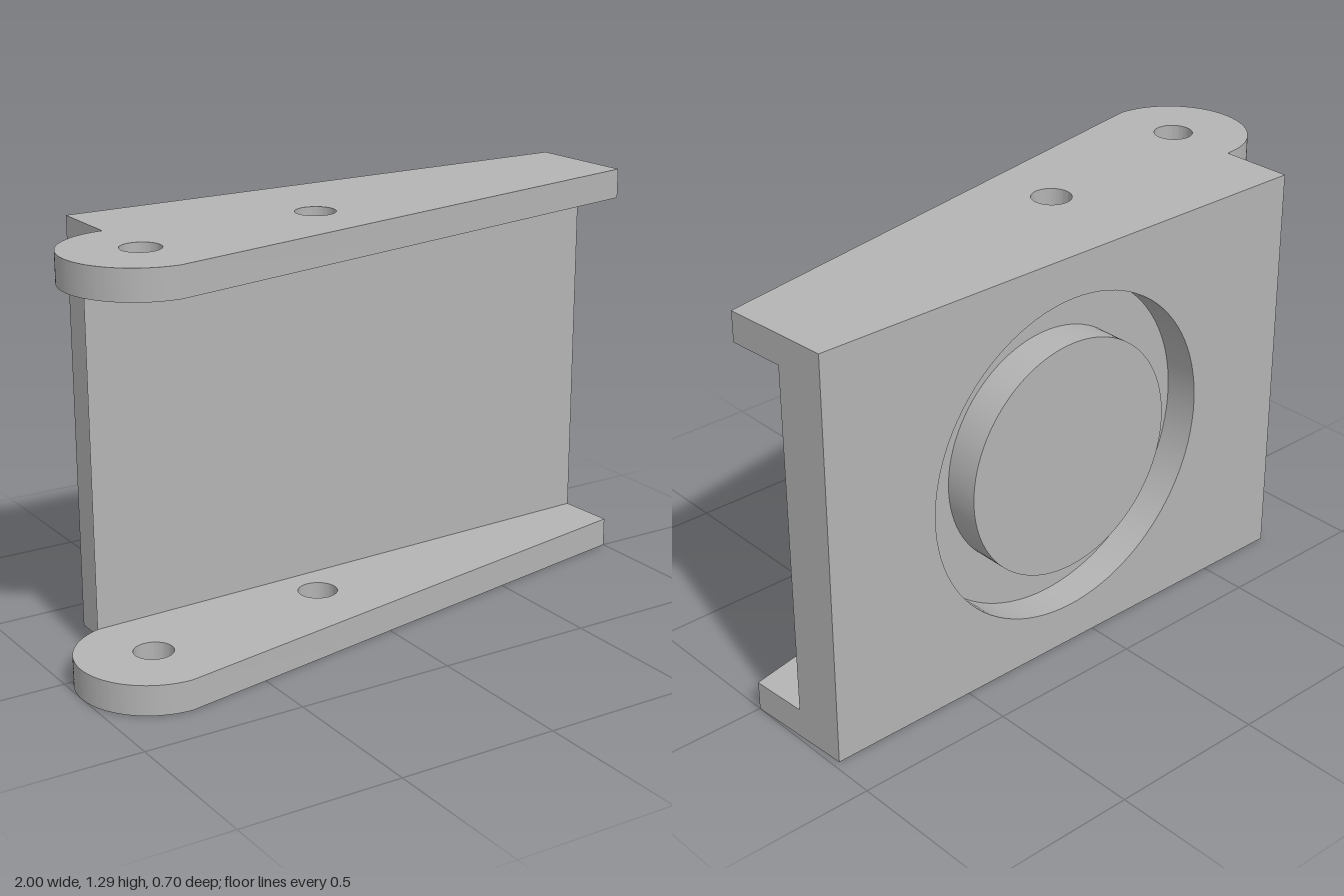
import * as THREE from 'three';
import { toCreasedNormals } from 'three/addons/utils/BufferGeometryUtils.js';

const HEIGHT = 1.287, PLATE = 0.093;
const PIVOT_X = -0.768, PIVOT_Z = 0.117, PIVOT_R = 0.233; // rounded lug end
const BACK = 0.35, GROOVE_DEPTH = 0.11, FLOOR = BACK - GROOVE_DEPTH;
const RING_X = 0.1, RING_OUTER = 0.513, RING_INNER = 0.373;

export function createModel() {
  const model = new THREE.Group();
  model.name = 'bracket';
  const grey = new THREE.MeshStandardMaterial({ color: 0xb4b4b4 });
  grey.name = 'grey metal';

  const extrude = (shape, depth) =>
    new THREE.ExtrudeGeometry(shape, { depth, bevelEnabled: false, curveSegments: 48 });
  const add = (name, geometry) => {
    const mesh = new THREE.Mesh(toCreasedNormals(geometry, 0.5), grey);
    mesh.name = name;
    model.add(mesh);
    return mesh;
  };
  const hole = (x, y, r) => new THREE.Path().absarc(x, y, r, 0, Math.PI * 2, true);

  // Plan outlines are drawn with shape y = -z, then laid flat and raised
  const plan = (shape, height, y) =>
    extrude(shape, height).rotateX(-Math.PI / 2).translate(0, y, 0);

  // Two tapered side plates with a rounded lug and two pin holes
  const plate = new THREE.Shape();
  plate.moveTo(PIVOT_X, BACK);
  plate.lineTo(PIVOT_X, -PIVOT_Z + PIVOT_R);
  plate.absarc(PIVOT_X, -PIVOT_Z, PIVOT_R, Math.PI / 2, Math.PI * 1.5, false);
  plate.lineTo(1, 0);
  plate.lineTo(0.98, BACK);
  plate.closePath();
  plate.holes.push(hole(PIVOT_X, -PIVOT_Z, 0.06), hole(-0.135, 0.004, 0.061));
  add('lowerPlate', plan(plate, PLATE, 0));
  add('upperPlate', plan(plate, PLATE, HEIGHT - PLATE));

  // Wall web with a slightly slanted front, ending on the lug's curve
  const wallHeight = HEIGHT - 2 * PLATE;
  const web = new THREE.Shape();
  web.moveTo(PIVOT_X, FLOOR);
  web.lineTo(PIVOT_X, -PIVOT_Z + PIVOT_R);
  web.absarc(PIVOT_X, -PIVOT_Z, PIVOT_R, Math.PI / 2, Math.acos(-0.07 / PIVOT_R), false);
  web.lineTo(0.9894, 0.185);
  web.lineTo(0.9863, FLOOR);
  web.closePath();
  add('wallWeb', plan(web, wallHeight, PLATE));

  // Back layer of the wall, cut by the ring groove
  const back = new THREE.Shape();
  back.moveTo(PIVOT_X, PLATE);
  back.lineTo(0.98, PLATE);
  back.lineTo(0.98, HEIGHT - PLATE);
  back.lineTo(PIVOT_X, HEIGHT - PLATE);
  back.closePath();
  back.holes.push(hole(RING_X, HEIGHT / 2, RING_OUTER));
  const backGeometry = extrude(back, GROOVE_DEPTH).translate(0, 0, -BACK);
  const p = backGeometry.attributes.position;
  for (let i = 0; i < p.count; i++) { // lean the end to match the plates
    if (p.getX(i) > 0.9 && p.getZ(i) > -0.3) p.setX(i, 0.9863);
  }
  add('wallBack', backGeometry);

  // Round boss left standing inside the groove
  const boss = new THREE.CylinderGeometry(RING_INNER, RING_INNER, GROOVE_DEPTH, 96);
  boss.rotateX(Math.PI / 2);
  add('roundBoss', boss).position.set(RING_X, HEIGHT / 2, -BACK + GROOVE_DEPTH / 2);

  return model;
}
